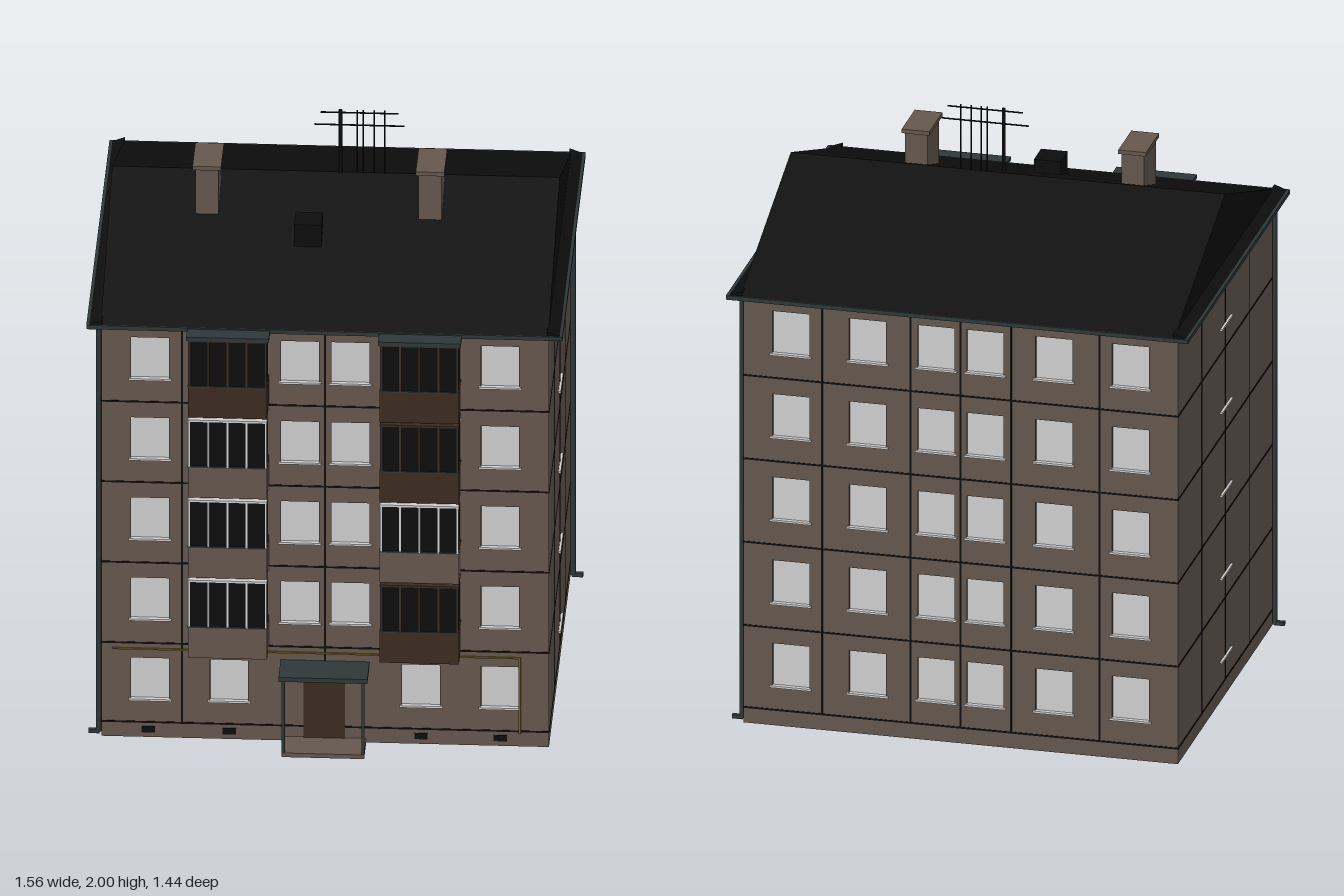
import * as THREE from 'three';

const mat = (name, color, side = THREE.FrontSide) => {
  const m = new THREE.MeshStandardMaterial({ color, side });
  m.name = name;
  return m;
};

export function createModel() {
  const wall = mat('wall brown', 0x65574e, THREE.DoubleSide);
  const light = mat('window grey', 0xcfcfcf);
  const black = mat('roof black', 0x0d0d0d);
  const slate = mat('dark slate', 0x2e3838);
  const wood = mat('dark wood', 0x3c2b20);
  const yellow = mat('pipe yellow', 0x75621a);

  const root = new THREE.Group();
  root.name = 'apartmentBlock';

  // Box given by its min and max corners
  function box(name, m, x0, x1, y0, y1, z0, z1, parent = root) {
    const mesh = new THREE.Mesh(new THREE.BoxGeometry(x1 - x0, y1 - y0, z1 - z0), m);
    mesh.position.set((x0 + x1) / 2, (y0 + y1) / 2, (z0 + z1) / 2);
    mesh.name = name;
    parent.add(mesh);
    return mesh;
  }
  function rod(name, m, r, x, y0, y1, z) {
    const mesh = new THREE.Mesh(new THREE.CylinderGeometry(r, r, y1 - y0, 8), m);
    mesh.position.set(x, (y0 + y1) / 2, z);
    mesh.name = name;
    root.add(mesh);
  }

  const HX = 0.735, ZF = 0.59, ZB = -0.67, TOP = 1.52, T = 0.015;
  const STEP = 0.294, FLOORS = [0, 1, 2, 3, 4];
  const sillY = f => 0.14 + STEP * f;

  // Openings as [x centre, y bottom, width, height, has sill]
  const windowAt = (x, f) => [x, sillY(f), 0.125, 0.15, true];
  const front = [], back = [];
  for (const f of FLOORS) {
    for (const x of [-0.575, 0.575]) front.push(windowAt(x, f));
    if (f === 0) for (const x of [-0.315, 0.315]) front.push(windowAt(x, f));
    else {
      for (const x of [-0.083, 0.083]) front.push(windowAt(x, f));
      for (const x of [-0.315, 0.315]) front.push([x, sillY(f) - 0.06, 0.2, 0.24, false]);
    }
    for (const x of [-0.575, -0.315, -0.083, 0.083, 0.315, 0.575]) back.push(windowAt(x, f));
  }

  // Long walls with window openings, panes set at the inner face
  function longWall(name, openings, zOuter, dir) {
    const shape = new THREE.Shape();
    shape.moveTo(-HX, 0).lineTo(HX, 0).lineTo(HX, TOP).lineTo(-HX, TOP).closePath();
    const zIn = zOuter - dir * T;
    for (const [x, y, w, h, sill] of openings) {
      const p = new THREE.Path();
      p.moveTo(x - w / 2, y).lineTo(x - w / 2, y + h).lineTo(x + w / 2, y + h).lineTo(x + w / 2, y).closePath();
      shape.holes.push(p);
      box('windowPane', light, x - w / 2, x + w / 2, y, y + h, zIn - 0.003, zIn + 0.003);
      if (sill) box('windowSill', light, x - w / 2 - 0.008, x + w / 2 + 0.008, y - 0.005, y + 0.002,
        zOuter - 0.008, zOuter + 0.008);
    }
    const mesh = new THREE.Mesh(new THREE.ExtrudeGeometry(shape, { depth: T, bevelEnabled: false }), wall);
    mesh.position.z = Math.min(zOuter, zIn);
    mesh.name = name;
    root.add(mesh);
  }
  longWall('frontWall', front, ZF, 1);
  longWall('backWall', back, ZB, -1);

  // Gable walls, with panes on the inside and sills outside
  for (const s of [-1, 1]) {
    const w = new THREE.Mesh(new THREE.PlaneGeometry(ZF - ZB, TOP), wall);
    w.rotation.y = s * Math.PI / 2;
    w.position.set(s * HX, TOP / 2, (ZF + ZB) / 2);
    w.name = 'gableWall';
    root.add(w);
    for (const f of FLOORS) {
      const x = s * (HX - 0.006), xo = s * HX;
      box('innerPane', light, x - 0.003, x + 0.003, sillY(f), sillY(f) + 0.15, -0.1, 0.025);
      box('gableSill', light, xo - 0.008, xo + 0.008, sillY(f) - 0.005, sillY(f) + 0.002, -0.11, 0.03);
    }
  }

  // Panel joints
  const E = 0.0015, W = 0.003;
  for (const y of [0.055, 0.345, 0.64, 0.935, 1.23]) {
    for (const z of [ZF, ZB]) box('floorJoint', black, -HX, HX, y - W, y + W, z - E, z + E);
    for (const x of [-HX, HX]) box('floorJoint', black, x - E, x + E, y - W, y + W, ZB, ZF);
  }
  for (const x of [-0.47, 0]) box('frontJoint', black, x - W, x + W, 0.055, TOP, ZF - E, ZF + E);
  for (const x of [-0.47, -0.17, 0, 0.17, 0.47]) box('backJoint', black, x - W, x + W, 0.055, TOP, ZB - E, ZB + E);
  for (const x of [-HX, HX]) for (const z of [0.27, -0.042, -0.355])
    box('gableJoint', black, x - E, x + E, 0.055, TOP, z - W, z + W);

  // Gable roof, side skirts and eaves trim
  function prism(name, pts, length, place) {
    const g = new THREE.ExtrudeGeometry(new THREE.Shape(pts.map(p => new THREE.Vector2(...p))),
      { depth: length, bevelEnabled: false });
    g.translate(0, 0, -length / 2);
    const mesh = new THREE.Mesh(g, black);
    mesh.name = name;
    place(mesh);
    root.add(mesh);
  }
  prism('roof', [[-0.63, 1.525], [0.72, 1.525], [0.045, 1.772]], HX * 2, m => { m.rotation.y = Math.PI / 2; });
  for (const s of [-1, 1])
    prism('roofSkirt', [[0.73, 1.525], [0.775, 1.525], [0.73, 1.542]], 1.34, m => {
      m.position.z = -0.045;
      if (s < 0) m.rotation.y = Math.PI, m.position.z = -0.045;
    });
  box('eavesTrim', slate, -0.782, 0.782, 1.512, 1.526, -0.722, 0.632);

  // Chimneys
  for (const x of [-0.413, 0.32]) {
    box('chimney', wall, x - 0.038, x + 0.038, 1.69, 1.868, -0.008, 0.147);
    box('chimneyCap', wall, x - 0.047, x + 0.047, 1.866, 1.88, -0.018, 0.156);
  }

  // Roof hatch and aerials
  box('roofHatch', black, -0.12, -0.03, 1.62, 1.735, 0.18, 0.275);
  rod('aerialMast', black, 0.006, 0.015, 1.76, 2, -0.045);
  for (const x of [0.07, 0.09, 0.125, 0.16]) rod('aerialRod', black, 0.0025, x, 1.76, 2, -0.045);
  box('aerialBar', black, -0.05, 0.205, 1.988, 1.992, -0.047, -0.043);
  box('aerialBar', black, -0.07, 0.225, 1.943, 1.947, -0.047, -0.043);

  // Balconies: solid parapet, dark glazing, four-pane frame
  function balcony(cx, k, dark) {
    const g = new THREE.Group();
    g.name = 'balcony';
    root.add(g);
    const x0 = cx - 0.13, x1 = cx + 0.13, y0 = 0.345 + STEP * k, zf = 0.69;
    const panel = dark ? wood : wall, frame = dark ? wood : light;
    box('parapet', panel, x0, x1, y0, y0 + 0.112, ZF, zf, g);
    box('glazing', black, x0 + 0.002, x1 - 0.002, y0 + 0.112, y0 + 0.284, ZF, zf - 0.003, g);
    for (let i = 0; i <= 4; i++) {
      const x = x0 + 0.004 + i * (0.252 / 4);
      box('mullion', frame, x - 0.003, x + 0.003, y0 + 0.112, y0 + 0.282, zf - 0.005, zf + 0.001, g);
    }
    box('topRail', frame, x0, x1, y0 + 0.278, y0 + 0.285, ZF, zf + 0.001, g);
    box('bottomRail', slate, x0 - 0.001, x1 + 0.001, y0 + 0.11, y0 + 0.115, ZF, zf + 0.001, g);
  }
  [false, false, false, true].forEach((d, k) => balcony(-0.315, k, d));
  [true, false, true, true].forEach((d, k) => balcony(0.315, k, d));
  for (const x of [-0.315, 0.315]) box('balconyRoof', slate, x - 0.136, x + 0.136, 1.508, 1.522, ZF, 0.692);

  // Entrance: step, door, posts and canopy
  box('entranceStep', wall, -0.135, 0.135, 0, 0.015, ZF, 0.712);
  box('door', wood, -0.07, 0.065, 0.015, 0.25, ZF - 0.018, ZF + 0.004);
  box('canopy', slate, -0.146, 0.146, 0.28, 0.296, ZF, 0.72);
  for (const x of [-0.131, 0.131]) {
    box('canopyPost', slate, x - 0.005, x + 0.005, 0, 0.282, 0.698, 0.708);
    box('canopyRail', slate, x - 0.004, x + 0.004, 0.27, 0.282, ZF, 0.708);
  }

  // Basement vents
  for (const x of [-0.58, -0.315, 0.315, 0.575])
    box('basementVent', black, x - 0.022, x + 0.022, 0.018, 0.04, ZF - 0.002, ZF + 0.003);

  // Gas pipe
  box('gasPipe', yellow, -0.7, 0.642, 0.323, 0.328, ZF + 0.003, ZF + 0.008);
  box('gasPipeDrop', yellow, 0.636, 0.643, 0.05, 0.328, ZF + 0.003, ZF + 0.009);

  // Corner drainpipes
  for (const [s, z] of [[-1, 0.575], [1, -0.65]]) {
    rod('drainpipe', slate, 0.009, s * 0.745, 0.01, 1.515, z);
    const x = s * 0.76;
    box('drainFoot', slate, x - 0.018, x + 0.018, 0.005, 0.018, z - 0.008, z + 0.008);
  }
  return root;
}
